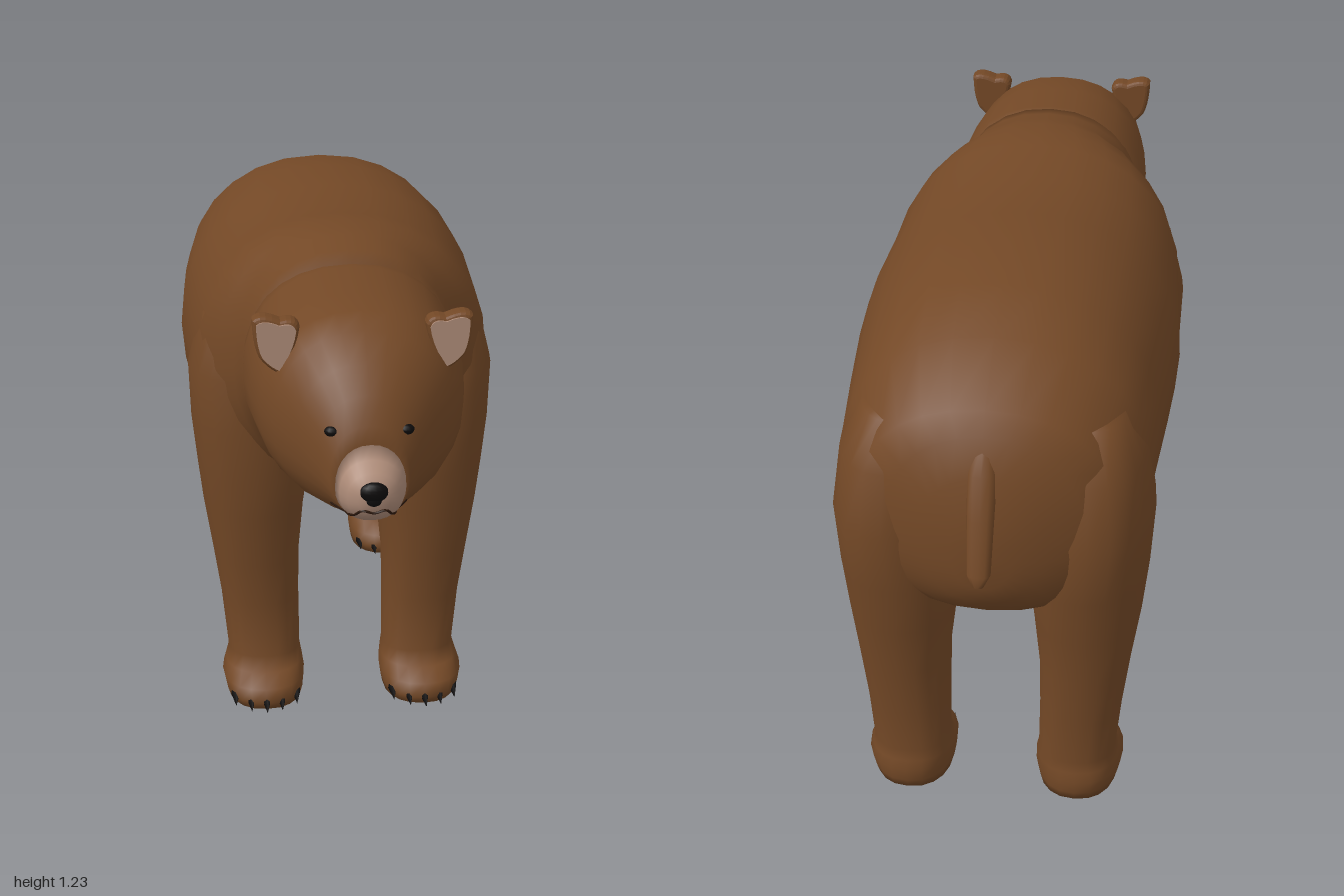
import * as THREE from 'three';

const mat = (name, color, side = THREE.FrontSide) => {
  const m = new THREE.MeshStandardMaterial({ color, side });
  m.name = name;
  return m;
};

// Superellipse helper: keeps the sign while rounding the corner
const pw = (v, n) => Math.sign(v) * Math.pow(Math.abs(v), 2 / n);

// Ring in the xy plane: [z, top, bottom, half width, height of widest point]
function ringZ([z, top, bot, w, mid], a, n = 2.2) {
  const s = pw(Math.sin(a), n);
  return new THREE.Vector3(w * pw(Math.cos(a), n), mid + s * (s > 0 ? top - mid : mid - bot), z);
}

// Ring in the xz plane: [y, x min, x max, z min, z max], shifted in z
function ringY([y, x0, x1, z0, z1], a, n = 2.3) {
  return new THREE.Vector3(
    (x0 + x1) / 2 + pw(Math.cos(a), n) * (x1 - x0) / 2, y,
    (z0 + z1) / 2 - pw(Math.sin(a), n) * (z1 - z0) / 2);
}

// Smooth closed skin through a list of sections
function loft(sections, ring, seg = 24) {
  const pos = [], idx = [], last = sections.length - 1;
  sections.forEach((s) => {
    for (let j = 0; j < seg; j++) pos.push(...ring(s, (j / seg) * Math.PI * 2).toArray());
  });
  for (let i = 0; i < last; i++) {
    for (let j = 0; j < seg; j++) {
      const k = (j + 1) % seg;
      const a = i * seg + j, b = i * seg + k, c = b + seg, d = a + seg;
      idx.push(a, b, c, a, c, d);
    }
  }
  for (const i of [0, last]) {
    const mid = new THREE.Vector3();
    for (let j = 0; j < seg; j++) mid.add(ring(sections[i], (j / seg) * Math.PI * 2));
    const c = pos.length / 3;
    pos.push(...mid.divideScalar(seg).toArray());
    for (let j = 0; j < seg; j++) {
      const a = i * seg + j, b = i * seg + (j + 1) % seg;
      idx.push(...(i ? [c, a, b] : [c, b, a]));
    }
  }
  const g = new THREE.BufferGeometry();
  g.setAttribute('position', new THREE.Float32BufferAttribute(pos, 3));
  g.setIndex(idx);
  g.computeVertexNormals();
  return g;
}

const TORSO = [
  [-0.94, 0.84, 0.66, 0.07, 0.76], [-0.92, 0.93, 0.61, 0.14, 0.77], [-0.89, 1.015, 0.57, 0.22, 0.78],
  [-0.85, 1.06, 0.54, 0.29, 0.8], [-0.7, 1.15, 0.49, 0.347, 0.82], [-0.54, 1.197, 0.465, 0.358, 0.84],
  [-0.35, 1.22, 0.475, 0.372, 0.85], [-0.2, 1.207, 0.484, 0.38, 0.85], [0, 1.205, 0.498, 0.367, 0.86],
  [0.13, 1.228, 0.52, 0.358, 0.87], [0.2, 1.232, 0.545, 0.34, 0.88], [0.26, 1.23, 0.59, 0.305, 0.89],
  [0.3, 1.225, 0.63, 0.265, 0.9], [0.37, 1.208, 0.69, 0.25, 0.92], [0.45, 1.19, 0.715, 0.245, 0.93],
];
const HEAD = [
  [0.28, 1.2, 0.68, 0.24, 0.92], [0.45, 1.193, 0.713, 0.25, 0.94], [0.6, 1.18, 0.745, 0.24, 0.95],
  [0.7, 1.172, 0.735, 0.224, 0.95], [0.76, 1.145, 0.738, 0.197, 0.94], [0.82, 1.095, 0.75, 0.152, 0.92],
  [0.87, 1.04, 0.767, 0.112, 0.89], [0.9, 0.982, 0.775, 0.086, 0.86], [0.912, 0.945, 0.779, 0.076, 0.85],
];
const MUZZLE = [
  [0.912, 0.945, 0.779, 0.076, 0.85], [0.94, 0.922, 0.785, 0.069, 0.85],
  [0.968, 0.903, 0.798, 0.055, 0.85], [0.988, 0.884, 0.82, 0.034, 0.852],
];
// Paw sections shared by all legs, measured from the heel line
const PAW = [
  [0, 0.105, 0.288, 0.01, 0.265], [0.025, 0.1, 0.295, 0, 0.285],
  [0.055, 0.096, 0.302, 0, 0.27], [0.08, 0.1, 0.293, 0.005, 0.225], [0.105, 0.105, 0.285, 0.012, 0.185],
];
const FORE = [
  [0.25, 0.106, 0.3, 0.035, 0.24], [0.36, 0.104, 0.317, 0.01, 0.252], [0.5, 0.09, 0.34, -0.035, 0.27],
  [0.6, 0.075, 0.352, -0.05, 0.285], [0.72, 0.08, 0.365, -0.06, 0.29], [0.86, 0.1, 0.37, -0.05, 0.285],
  [1, 0.12, 0.335, 0, 0.25], [1.1, 0.15, 0.26, 0.05, 0.2],
];
const HIND = [
  [0.22, 0.106, 0.297, -0.84, -0.63], [0.35, 0.104, 0.315, -0.855, -0.592], [0.47, 0.09, 0.335, -0.87, -0.535],
  [0.6, 0.075, 0.35, -0.895, -0.5], [0.75, 0.09, 0.36, -0.91, -0.49], [0.9, 0.1, 0.34, -0.88, -0.52],
  [1, 0.13, 0.29, -0.82, -0.56],
];
const TAIL = [
  [0.705, -0.012, 0.012, -1, -0.98], [0.73, -0.026, 0.026, -0.998, -0.966], [0.85, -0.03, 0.03, -0.963, -0.925],
  [0.94, -0.032, 0.032, -0.928, -0.88], [1.01, -0.02, 0.02, -0.885, -0.84],
];

export function createModel() {
  const fur = mat('brown fur', 0x734826);
  const tan = mat('pale muzzle', 0xac8a77);
  const black = mat('black', 0x0d0b0b);
  const lip = mat('dark lip', 0x2c180c);
  const bear = new THREE.Group();
  bear.name = 'bear';
  const add = (name, geo, material, parent = bear) => {
    const m = new THREE.Mesh(geo, material);
    m.name = name;
    parent.add(m);
    return m;
  };

  add('torso', loft(TORSO, ringZ, 28), fur);
  add('headAndNeck', loft(HEAD, ringZ, 28), fur);
  add('muzzle', loft(MUZZLE, ringZ, 28), tan);
  add('tail', loft(TAIL, ringY, 12), fur);

  // Nose pad with a narrow lower tip
  const nose = add('nose', new THREE.SphereGeometry(1, 14, 10), black);
  nose.scale.set(0.031, 0.022, 0.016);
  nose.position.set(0, 0.868, 0.984);
  const tip = add('noseTip', new THREE.SphereGeometry(1, 10, 8), black);
  tip.scale.set(0.018, 0.014, 0.01);
  tip.position.set(0, 0.85, 0.985);

  // Mouth line wrapped round the muzzle
  const side = [HEAD[6], HEAD[7], ...MUZZLE].map((s) => ringZ(s, -0.8));
  const path = [...side, new THREE.Vector3(0, 0.822, 0.988),
    ...side.slice().reverse().map((p) => new THREE.Vector3(-p.x, p.y, p.z))];
  add('mouth', new THREE.TubeGeometry(new THREE.CatmullRomCurve3(path), 40, 0.003, 5), lip);

  for (const s of [1, -1]) {
    const label = s > 0 ? 'left' : 'right';

    // Eye
    const eye = add(label + 'Eye', new THREE.SphereGeometry(1, 12, 8), black);
    eye.scale.set(0.017, 0.012, 0.014);
    eye.position.set(s * 0.079, 0.965, 0.877);

    // Ear: rounded cup with a pale inner plate
    const earShape = (k) => {
      const v = (x, y) => [s * x * k, y * k];
      const sh = new THREE.Shape();
      sh.moveTo(...v(-0.008, -0.07));
      sh.quadraticCurveTo(...v(-0.045, -0.02), ...v(-0.052, 0.035));
      sh.quadraticCurveTo(...v(-0.045, 0.06), ...v(-0.01, 0.05));
      sh.quadraticCurveTo(...v(0.035, 0.07), ...v(0.05, 0.052));
      sh.quadraticCurveTo(...v(0.05, -0.005), ...v(0.035, -0.035));
      sh.quadraticCurveTo(...v(0.015, -0.06), ...v(-0.008, -0.07));
      return sh;
    };
    const ear = new THREE.Group();
    ear.name = label + 'Ear';
    ear.position.set(s * 0.188, 1.112, 0.7);
    bear.add(ear);
    add('earCup', new THREE.ExtrudeGeometry(earShape(1), {
      depth: 0.022, bevelThickness: 0.014, bevelSize: 0.01, bevelOffset: -0.01, bevelSegments: 3, curveSegments: 5,
    }), fur, ear);
    add('innerEar', new THREE.ExtrudeGeometry(earShape(0.84), {
      depth: 0.006, bevelEnabled: false, curveSegments: 5,
    }), tan, ear).position.z = 0.034;

    // Legs with paws and five claws each
    for (const [name, upper, heel] of [['Front', FORE, 0.052], ['Hind', HIND, -0.848]]) {
      const leg = new THREE.Group();
      leg.name = label + name + 'Leg';
      bear.add(leg);
      const rows = [...PAW.map(([y, a, b, c, d]) => [y, a, b, c + heel, d + heel]), ...upper]
        .map(([y, a, b, c, d]) => (s > 0 ? [y, a, b, c, d] : [y, -b, -a, c, d]));
      add('limb', loft(rows, ringY, 20), fur, leg);
      for (let i = -2; i <= 2; i++) {
        const claw = add('claw', new THREE.ConeGeometry(0.012, 0.05, 6), black, leg);
        claw.rotation.x = Math.PI / 2 + 0.25;
        claw.position.set(s * 0.198 + i * 0.038, 0.022, heel + 0.292 - 0.011 * i * i);
      }
    }
  }
  return bear;
}
